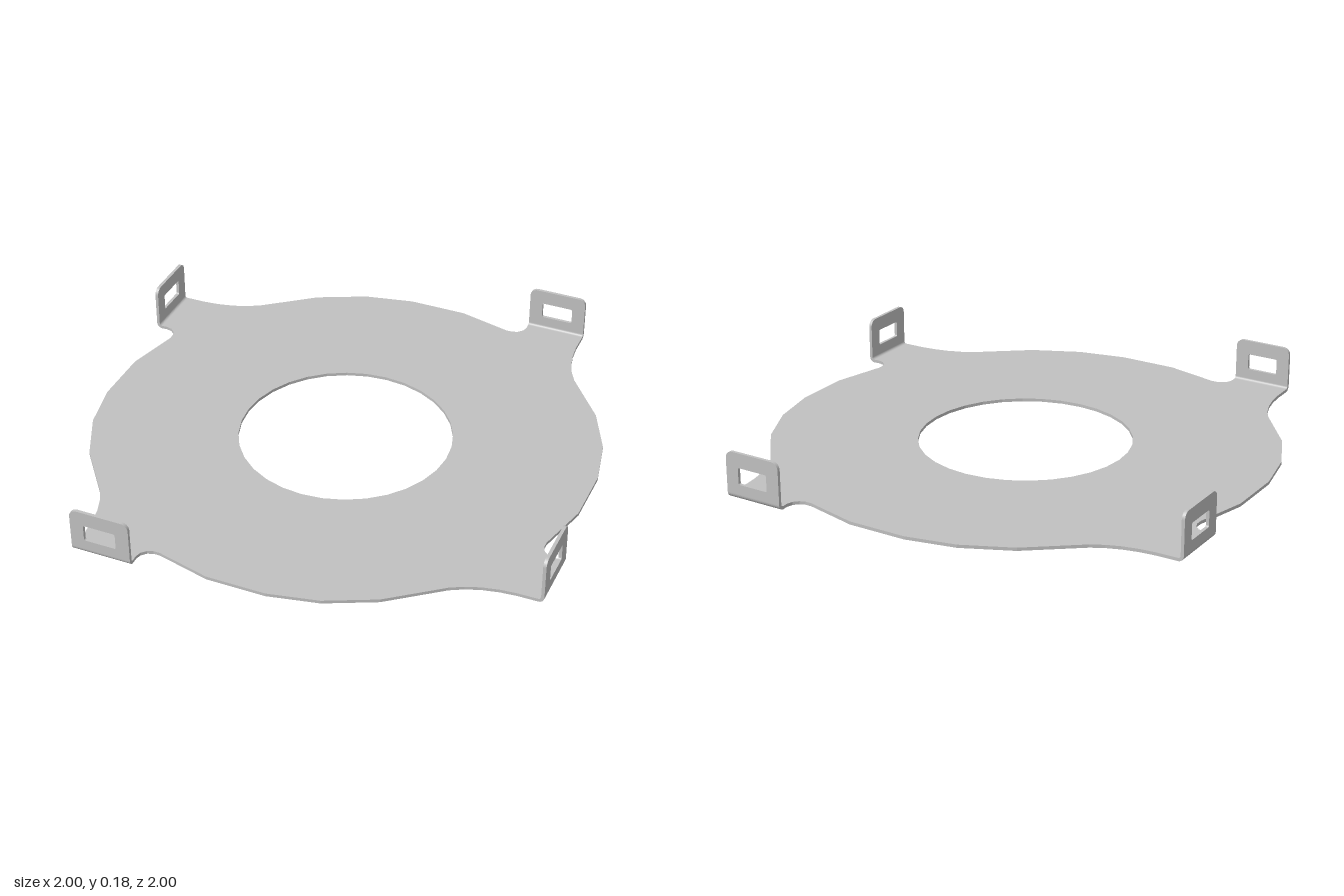
import * as THREE from 'three';

const T = 0.012;            // sheet thickness
const R = 0.022;            // outer bend radius
const IN = 0.386, OUT = 0.616; // tab extent along its edge
const H = 0.18;             // tab height

// Ring plate: one quarter of the outline, repeated four times
function plateGeometry() {
  const quarter = [
    [1 - R, -IN], [0.955, -0.387], [0.933, -0.381], [0.915, -0.364], [0.907, -0.343], [0.907, -0.318],
    [0.958, -0.113], [0.958, 0.113], [0.918, 0.302], [0.832, 0.485],
    [0.682, 0.677], [0.656, 0.725], [0.636, 0.78], [0.623, 0.84], [0.617, 0.9], [OUT, 1 - R],
  ];
  const points = [];
  for (let k = 0; k < 4; k++) {
    const c = [1, 0, -1, 0][k], s = [0, 1, 0, -1][k];
    for (const [x, y] of quarter) points.push(new THREE.Vector2(c * x - s * y, s * x + c * y));
  }
  const shape = new THREE.Shape(points);
  const hole = [];
  for (let i = 0; i < 32; i++) {
    const a = -i / 32 * Math.PI * 2;
    hole.push(new THREE.Vector2(0.405 * Math.cos(a), 0.405 * Math.sin(a)));
  }
  shape.holes.push(new THREE.Path(hole));
  return new THREE.ExtrudeGeometry(shape, { depth: T, bevelEnabled: false }).rotateX(-Math.PI / 2);
}

function roundedRect(path, x0, y0, x1, y1, rBottom, rTop) {
  path.moveTo(x0 + rBottom, y0);
  path.lineTo(x1 - rBottom, y0);
  if (rBottom) path.absarc(x1 - rBottom, y0 + rBottom, rBottom, -Math.PI / 2, 0, false);
  path.lineTo(x1, y1 - rTop);
  path.absarc(x1 - rTop, y1 - rTop, rTop, 0, Math.PI / 2, false);
  path.lineTo(x0 + rTop, y1);
  path.absarc(x0 + rTop, y1 - rTop, rTop, Math.PI / 2, Math.PI, false);
  path.lineTo(x0, y0 + rBottom);
  if (rBottom) path.absarc(x0 + rBottom, y0 + rBottom, rBottom, Math.PI, Math.PI * 1.5, false);
  return path;
}

// Upright tab with a slot, on the front edge
function tabGeometry() {
  const shape = roundedRect(new THREE.Shape(), -OUT, R, -IN, H, 0, 0.028);
  shape.holes.push(roundedRect(new THREE.Path(), -0.564, 0.06, -0.439, 0.124, 0.006, 0.006));
  return new THREE.ExtrudeGeometry(shape, { depth: T, bevelEnabled: false, curveSegments: 6 })
    .translate(0, 0, 1 - T);
}

// Quarter-round bend joining plate and tab
function bendGeometry() {
  const shape = new THREE.Shape();
  shape.absarc(1 - R, R, R, -Math.PI / 2, 0, false);
  shape.absarc(1 - R, R, R - T, 0, -Math.PI / 2, true);
  return new THREE.ExtrudeGeometry(shape, { depth: OUT - IN, bevelEnabled: false, curveSegments: 6 })
    .rotateY(-Math.PI / 2).translate(-IN, 0, 0);
}

export function createModel() {
  const model = new THREE.Group();
  model.name = 'mountingPlate';
  const steel = new THREE.MeshStandardMaterial({ color: 0xc0c0c0 });
  steel.name = 'steelGrey';

  const add = (parent, geometry, name) => {
    const mesh = new THREE.Mesh(geometry, steel);
    mesh.name = name;
    parent.add(mesh);
  };
  add(model, plateGeometry(), 'ringPlate');

  const tab = tabGeometry(), bend = bendGeometry();
  for (let k = 0; k < 4; k++) {
    const bracket = new THREE.Group();
    bracket.name = 'bracket' + (k + 1);
    add(bracket, tab, 'slottedTab');
    add(bracket, bend, 'tabBend');
    bracket.rotation.y = k * Math.PI / 2;
    model.add(bracket);
  }
  return model;
}
